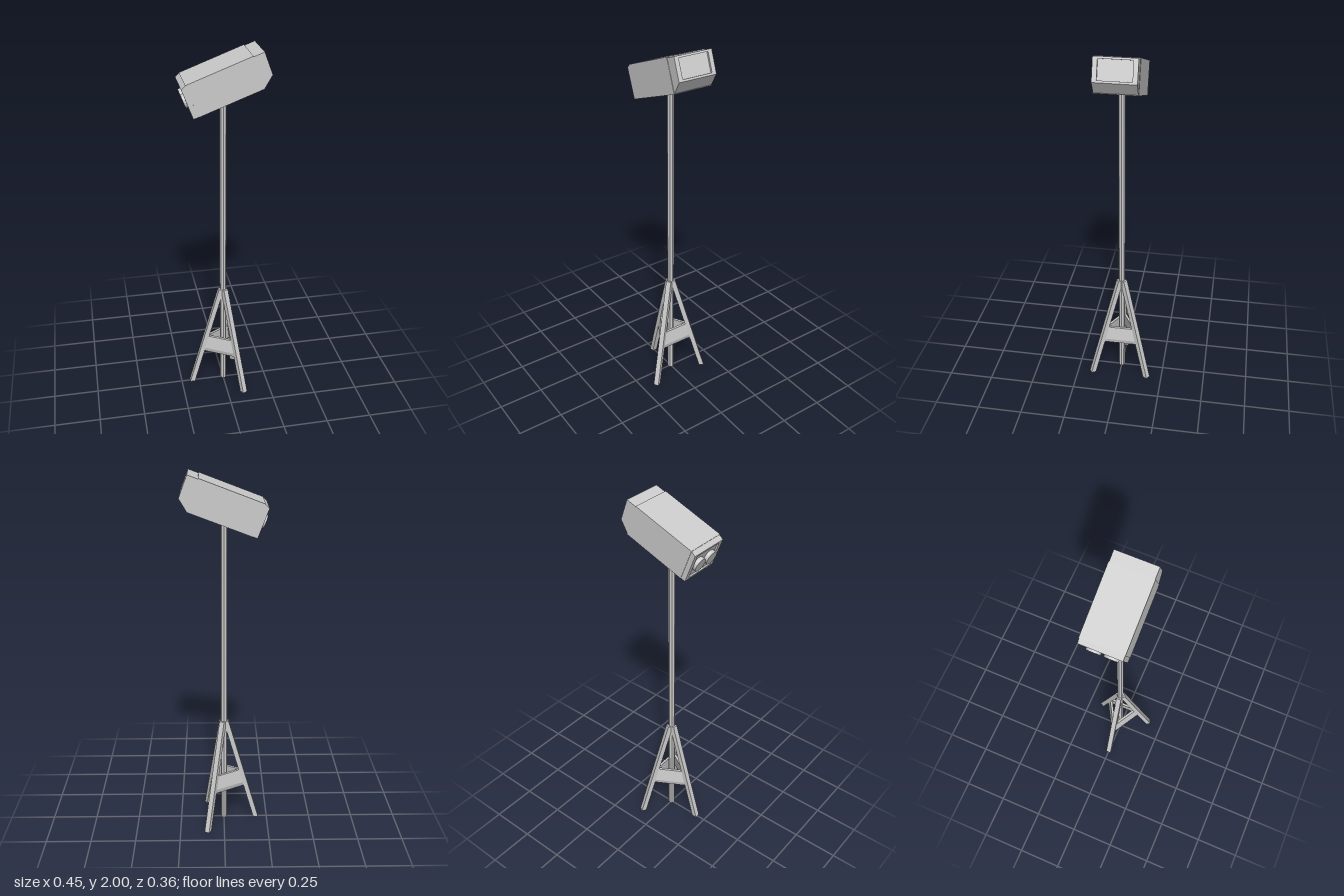
import * as THREE from 'three';

const mat = new THREE.MeshStandardMaterial({ color: 0xcccccc, flatShading: true });
const smooth = new THREE.MeshStandardMaterial({ color: 0xcccccc });

function add(parent, name, geometry, material = mat) {
  const mesh = new THREE.Mesh(geometry, material);
  mesh.name = name;
  parent.add(mesh);
  return mesh;
}

const polygon = (pts) => new THREE.Shape(pts.map(([x, y]) => new THREE.Vector2(x, y)));
const rect = (w, bottom, top) => [[-w, bottom], [w, bottom], [w, top], [-w, top]];

// Move every vertex of a geometry by a rule
function reshape(geometry, rule) {
  const p = geometry.attributes.position;
  const v = new THREE.Vector3();
  for (let i = 0; i < p.count; i++) {
    rule(v.fromBufferAttribute(p, i));
    p.setXYZ(i, v.x, v.y, v.z);
  }
  geometry.computeVertexNormals();
  return geometry;
}

// Tapered end cap with a recessed panel; side is +1 (front) or -1 (rear)
function endCap(parent, name, side, start, depth, width, base, tip, recess) {
  const rim = 0.011, holeWidth = width - 0.024;
  const shape = polygon(rect(width, ...tip));
  shape.holes.push(polygon(rect(holeWidth, tip[0] + rim, tip[1] - rim)));
  const geo = new THREE.ExtrudeGeometry(shape, { depth, bevelEnabled: false });
  reshape(geo, (v) => {
    if (v.z > 1e-4) return;
    if (Math.abs(v.y - tip[0]) < 1e-4) v.y = base[0];
    if (Math.abs(v.y - tip[1]) < 1e-4) v.y = base[1];
  });
  geo.rotateY(side * Math.PI / 2).translate(side * start, 0, 0);
  add(parent, name, geo);
  const height = tip[1] - tip[0] - 2 * rim;
  const thick = depth - recess;
  add(parent, name + 'Panel', new THREE.BoxGeometry(thick, height, holeWidth * 2))
    .position.set(side * (start + thick / 2), (tip[0] + tip[1]) / 2, 0);
}

// Radius of the tripod leg centreline at a given height
const legTop = 0.625;
const legRadius = (y) => 0.187 - 0.175 * y / legTop;

function makeLeg() {
  // square bar, sheared so both ends stay horizontal
  const geo = new THREE.BoxGeometry(0.028, legTop, 0.029).translate(0, legTop / 2, 0);
  return reshape(geo, (v) => { v.x += legRadius(v.y); });
}

function makeBrace() {
  // thin plate leaning with the legs, chamfered along its lower outer edge
  const outer = (y) => legRadius(y) / 2 + 0.006;
  const shape = polygon([
    [outer(0.21) - 0.014, 0.21], [outer(0.21) - 0.009, 0.21], [outer(0.235), 0.235],
    [outer(0.315), 0.315], [outer(0.315) - 0.014, 0.315],
  ]);
  const geo = new THREE.ExtrudeGeometry(shape, { depth: 2, bevelEnabled: false });
  geo.translate(0, 0, -1);
  return reshape(geo, (v) => { v.z *= legRadius(v.y) * Math.sin(Math.PI / 3); });
}

export function createModel() {
  const model = new THREE.Group();
  model.name = 'deviceOnTripod';

  // Pole
  add(model, 'pole', new THREE.CylinderGeometry(0.0185, 0.0185, 1.78, 8))
    .position.y = 0.89;

  // Tripod
  const tripod = new THREE.Group();
  tripod.name = 'tripod';
  model.add(tripod);
  const leg = makeLeg(), brace = makeBrace();
  for (let i = 0; i < 3; i++) {
    const turn = i * Math.PI * 2 / 3;
    add(tripod, 'leg', leg).rotation.y = turn + Math.PI;
    add(tripod, 'brace', brace).rotation.y = turn;
  }

  // Tilted head
  const head = new THREE.Group();
  head.name = 'head';
  head.position.set(-0.0075, 1.838, 0);
  head.rotation.z = THREE.MathUtils.degToRad(20.7);
  model.add(head);
  add(head, 'housing', new THREE.BoxGeometry(0.356, 0.176, 0.222));
  endCap(head, 'frontHood', 1, 0.178, 0.058, 0.109, [-0.085, 0.084], [-0.038, 0.084], 0.01);
  endCap(head, 'rearCap', -1, 0.178, 0.026, 0.109, [-0.088, 0.086], [-0.087, 0.075], 0.008);

  // Pair of round eyepieces on the rear
  for (const side of [-1, 1]) {
    const eyepiece = new THREE.CylinderGeometry(0.037, 0.037, 0.026, 24).rotateZ(Math.PI / 2);
    add(head, 'eyepiece', eyepiece, smooth).position.set(-0.204, -0.004, side * 0.044);
  }
  return model;
}
